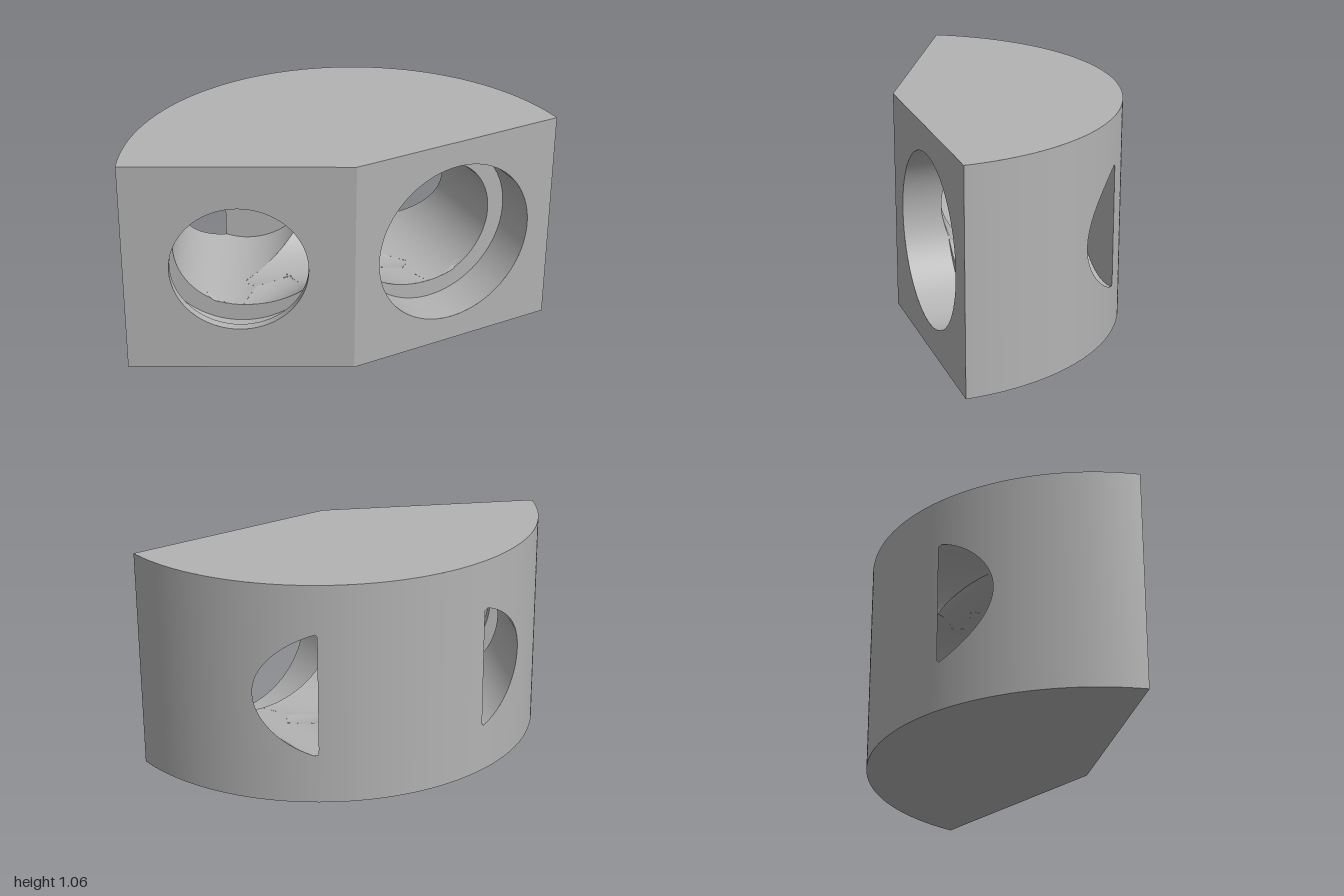
import * as THREE from 'three';

const R = 1.0625, H = 1.0625;            // sector radius and height
const A = THREE.MathUtils.degToRad(152); // sector angle
const CX = 1 - R, CZ = R / 2;            // sector apex
const TILT = Math.PI - A;
const BORE = 0.319, SEAT = 0.405, MID = R / 2;

// Point from face coordinates: s along the face from the apex, t depth into the block
const at = (side, s, t) => side === 0
  ? new THREE.Vector3(CX + s, H / 2, CZ - t)
  : new THREE.Vector3(CX - s * Math.cos(TILT) + t * Math.sin(TILT), H / 2,
    CZ - s * Math.sin(TILT) - t * Math.cos(TILT));

// Cylindrical hollow between two points
function hollow(name, a, b, r) {
  const dir = b.clone().sub(a), len = dir.length();
  dir.normalize();
  const outside = (x, y, z) => {
    const dx = x - a.x, dy = y - a.y, dz = z - a.z;
    const t = dx * dir.x + dy * dir.y + dz * dir.z;
    const radial = Math.sqrt(Math.max(0, dx * dx + dy * dy + dz * dz - t * t));
    return Math.max(radial - r, -t, t - len);
  };
  return { name, a, dir, len, r, outside };
}

// Positive inside the sector block
function insideBlock(x, y, z) {
  const dx = x - CX, dz = z - CZ;
  return Math.min(R - Math.hypot(dx, dz), -dz,
    dx * Math.sin(TILT) - dz * Math.cos(TILT));
}

// Keep the part of a surface where every rule is positive
function trim(geometry, rules) {
  const g = geometry.index ? geometry.toNonIndexed() : geometry;
  const p = g.attributes.position, n = g.attributes.normal;
  const pos = [], nor = [];
  for (let i = 0; i < p.count; i += 3) {
    let poly = [0, 1, 2].map(k => [
      p.getX(i + k), p.getY(i + k), p.getZ(i + k),
      n.getX(i + k), n.getY(i + k), n.getZ(i + k)]);
    for (const rule of rules) {
      const f = poly.map(v => rule(v[0], v[1], v[2]));
      if (f.every(d => d >= 0)) continue;
      const kept = [];
      poly.forEach((v, k) => {
        const j = (k + 1) % poly.length;
        if (f[k] >= 0) kept.push(v);
        if ((f[k] >= 0) !== (f[j] >= 0)) {
          const w = f[k] / (f[k] - f[j]);
          kept.push(v.map((c, m) => c + (poly[j][m] - c) * w));
        }
      });
      poly = kept;
      if (poly.length < 3) break;
    }
    for (let k = 1; k + 1 < poly.length; k++) {
      for (const v of [poly[0], poly[k], poly[k + 1]]) {
        pos.push(v[0], v[1], v[2]);
        nor.push(v[3], v[4], v[5]);
      }
    }
  }
  const out = new THREE.BufferGeometry();
  out.setAttribute('position', new THREE.Float32BufferAttribute(pos, 3));
  out.setAttribute('normal', new THREE.Float32BufferAttribute(nor, 3));
  return out;
}

// Turn a surface so that it faces into the hollow
function inward(geometry) {
  const g = geometry.toNonIndexed();
  const p = g.attributes.position, n = g.attributes.normal;
  for (let i = 0; i < p.count; i += 3) {
    for (const attr of [p, n]) {
      const v = [attr.getX(i + 1), attr.getY(i + 1), attr.getZ(i + 1)];
      attr.setXYZ(i + 1, attr.getX(i + 2), attr.getY(i + 2), attr.getZ(i + 2));
      attr.setXYZ(i + 2, ...v);
    }
  }
  for (let i = 0; i < n.count; i++) n.setXYZ(i, -n.getX(i), -n.getY(i), -n.getZ(i));
  return g;
}

export function createModel() {
  const model = new THREE.Group();
  const grey = new THREE.MeshStandardMaterial({ color: 0xb3b3b3 });
  grey.name = 'plain grey';
  const add = (name, geometry, parent = model) => {
    const mesh = new THREE.Mesh(geometry, grey);
    mesh.name = name;
    parent.add(mesh);
  };

  // Hollows: a blind bore, a wider seat and an eased inner corner per face, plus a cross channel
  const hollows = [];
  for (const side of [0, 1]) {
    const label = side === 0 ? 'left' : 'right';
    hollows.push(
      hollow(label + 'Bore', at(side, MID, -0.1), at(side, MID, 0.85), BORE),
      hollow(label + 'Seat', at(side, MID, side === 0 ? -0.1 : 0.0425), at(side, MID, 0.2125), SEAT),
      hollow(label + 'EasedCorner', at(side, 0.574, 0.134), at(side, 0.297, 0.489), BORE));
  }
  const depth = MID * Math.tan(A / 4);
  hollows.push(hollow('crossChannel', at(0, MID, depth), at(1, MID, depth), BORE));
  const outsideAll = hollows.map(h => h.outside);

  // Outer block
  const block = new THREE.Group();
  block.name = 'sectorBlock';
  model.add(block);
  add('topFace', new THREE.CircleGeometry(R, 96, 0, A)
    .rotateX(-Math.PI / 2).translate(CX, H, CZ), block);
  add('bottomFace', new THREE.CircleGeometry(R, 96, -A, A)
    .rotateX(Math.PI / 2).translate(CX, 0, CZ), block);
  add('curvedBack', trim(new THREE.CylinderGeometry(R, R, H, 140, 48, true, Math.PI / 2, A)
    .translate(CX, H / 2, CZ), outsideAll), block);
  for (const side of [0, 1]) {
    const c = at(side, MID, 0);
    add(side === 0 ? 'leftFrontFace' : 'rightFrontFace',
      trim(new THREE.PlaneGeometry(R, H, 60, 60)
        .rotateY(side === 0 ? 0 : -TILT).translate(c.x, c.y, c.z), outsideAll), block);
  }

  // Inner walls and end faces of every hollow
  for (const h of hollows) {
    const group = new THREE.Group();
    group.name = h.name;
    model.add(group);
    const rules = [insideBlock, ...hollows.filter(o => o !== h).map(o => o.outside)];
    const turn = new THREE.Quaternion().setFromUnitVectors(new THREE.Vector3(0, 1, 0), h.dir);
    const place = g => trim(inward(g.applyQuaternion(turn).translate(h.a.x, h.a.y, h.a.z)), rules);
    const rows = Math.ceil(h.len / 0.018);
    const parts = {
      wall: new THREE.CylinderGeometry(h.r, h.r, h.len, 96, rows, true).translate(0, h.len / 2, 0),
      innerEnd: new THREE.RingGeometry(0, h.r, 96, 16).rotateX(-Math.PI / 2).translate(0, h.len, 0),
      outerEnd: new THREE.RingGeometry(0, h.r, 96, 16).rotateX(Math.PI / 2),
    };
    for (const [name, g] of Object.entries(parts)) {
      const surface = place(g);
      if (surface.attributes.position.count > 0) add(name, surface, group);
    }
  }
  return model;
}
